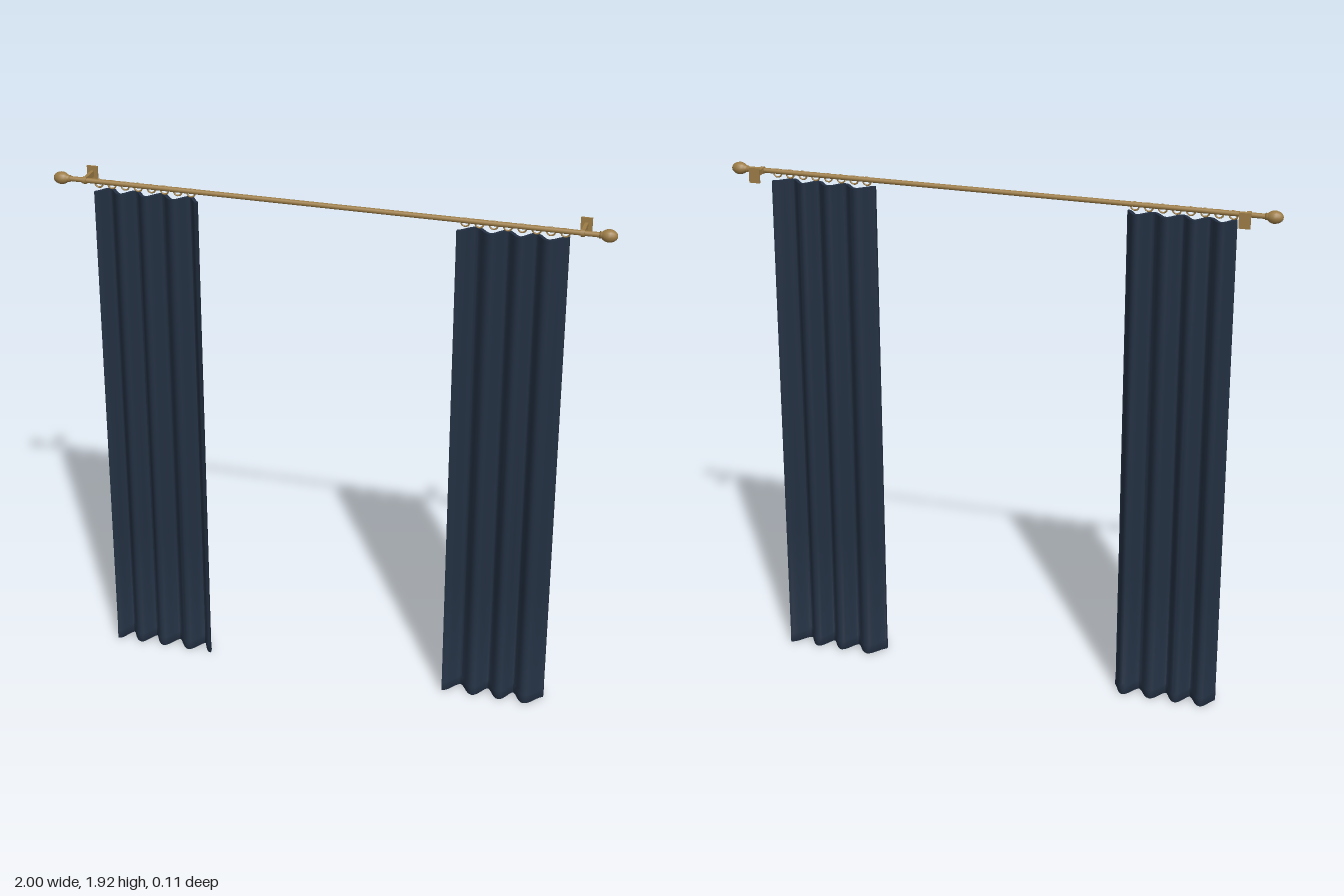
import * as THREE from 'three';
import { toCreasedNormals } from 'three/addons/utils/BufferGeometryUtils.js';

const ROD_Y = 1.895, ROD_Z = 0.017;

// Pleated slab: folds run front, back, front... through the given x positions
function curtainGeometry(folds) {
  const STEPS = 8;
  const line = [];
  for (let i = 0; i < folds.length - 1; i++) {
    for (let s = 0; s < STEPS; s++) {
      line.push([THREE.MathUtils.lerp(folds[i], folds[i + 1], s / STEPS), Math.cos((i + s / STEPS) * Math.PI)]);
    }
  }
  line.push([folds.at(-1), Math.cos((folds.length - 1) * Math.PI)]);

  // Rows: height, fold depth, half thickness (thicker at the hem)
  const rows = [
    [0, 0.029, 0.006], [0.006, 0.029, 0.0085], [0.036, 0.029, 0.0085], [0.044, 0.029, 0.006],
    [0.48, 0.0275, 0.006], [0.95, 0.0255, 0.006], [1.45, 0.0235, 0.006], [1.866, 0.0215, 0.006],
  ];
  const n = line.length, ring = 2 * n, pos = [], index = [];
  for (const [y, depth, half] of rows) {
    const front = [], back = [];
    line.forEach(([x, w], i) => {
      const a = line[Math.max(i - 1, 0)], b = line[Math.min(i + 1, n - 1)];
      const end = i === 0 || i === n - 1;
      const dx = b[0] - a[0], dz = end ? 0 : (b[1] - a[1]) * depth;
      const len = Math.hypot(dx, dz), nx = -dz / len * half, nz = dx / len * half;
      const z = ROD_Z + w * depth;
      front.push([x + nx, y, z + nz]);
      back.unshift([x - nx, y, z - nz]);
    });
    pos.push(...front.flat(), ...back.flat());
  }
  for (let r = 0; r < rows.length - 1; r++) {
    for (let i = 0; i < ring; i++) {
      const a = r * ring + i, b = r * ring + (i + 1) % ring;
      index.push(a, b, b + ring, a, b + ring, a + ring);
    }
  }
  // Top and bottom edges
  const top = (rows.length - 1) * ring;
  for (let i = 0; i < n - 1; i++) {
    const a = i, b = i + 1, c = ring - 2 - i, d = ring - 1 - i;
    index.push(top + a, top + b, top + c, top + a, top + c, top + d);
    index.push(a, c, b, a, d, c);
  }
  const g = new THREE.BufferGeometry();
  g.setAttribute('position', new THREE.Float32BufferAttribute(pos, 3));
  g.setIndex(index);
  return toCreasedNormals(g, 0.9);
}

export function createModel() {
  const model = new THREE.Group();
  model.name = 'curtains';
  const brass = new THREE.MeshStandardMaterial({ name: 'brass', color: 0x9c7c46 });
  const fabric = new THREE.MeshStandardMaterial({ name: 'navy fabric', color: 0x233042 });

  function add(parent, name, geometry, material, x = 0, y = 0, z = 0) {
    const mesh = new THREE.Mesh(geometry, material);
    mesh.name = name;
    mesh.position.set(x, y, z);
    parent.add(mesh);
    return mesh;
  }

  // Rod
  add(model, 'rod', new THREE.CylinderGeometry(0.009, 0.009, 1.92, 16), brass, 0, ROD_Y, ROD_Z)
    .rotation.z = Math.PI / 2;

  // Finials: neck, collar and oval knob
  const profile = [
    [0, 0], [0.012, 0], [0.012, 0.008], [0.015, 0.011], [0.02, 0.019], [0.0225, 0.029],
    [0.022, 0.038], [0.0185, 0.049], [0.012, 0.057], [0.006, 0.0605], [0, 0.0615],
  ].map(([r, h]) => new THREE.Vector2(r, h));
  const finial = new THREE.LatheGeometry(profile, 16);

  // Wall bracket parts
  const plate = new THREE.BoxGeometry(0.04, 0.055, 0.006);
  const arm = new THREE.BoxGeometry(0.012, 0.02, 0.07);
  const cup = new THREE.CylinderGeometry(0.013, 0.013, 0.014, 16);

  for (const side of [-1, 1]) {
    const label = side < 0 ? 'right' : 'left';
    add(model, label + 'Finial', finial, brass, side * 0.9385, ROD_Y, ROD_Z).rotation.z = -side * Math.PI / 2;

    const bracket = new THREE.Group();
    bracket.name = label + 'Bracket';
    bracket.position.set(side * 0.883, ROD_Y, 0);
    add(bracket, 'plate', plate, brass, 0, 0, -0.055);
    add(bracket, 'arm', arm, brass, 0, 0, -0.018);
    add(bracket, 'cup', cup, brass, 0, 0, ROD_Z).rotation.z = Math.PI / 2;
    model.add(bracket);
  }

  // Rings, eight above each curtain
  const ring = new THREE.TorusGeometry(0.0145, 0.003, 8, 20);
  for (const start of [-0.831, 0.484]) {
    for (let i = 0; i < 8; i++) add(model, 'ring', ring, brass, start + i * 0.0487, 1.889, ROD_Z);
  }

  // Curtains
  add(model, 'rightCurtain', curtainGeometry(
    [-0.84, -0.795, -0.746, -0.7, -0.654, -0.604, -0.551, -0.5, -0.46]), fabric);
  add(model, 'leftCurtain', curtainGeometry(
    [0.46, 0.521, 0.576, 0.626, 0.677, 0.723, 0.772, 0.837]), fabric);
  return model;
}
